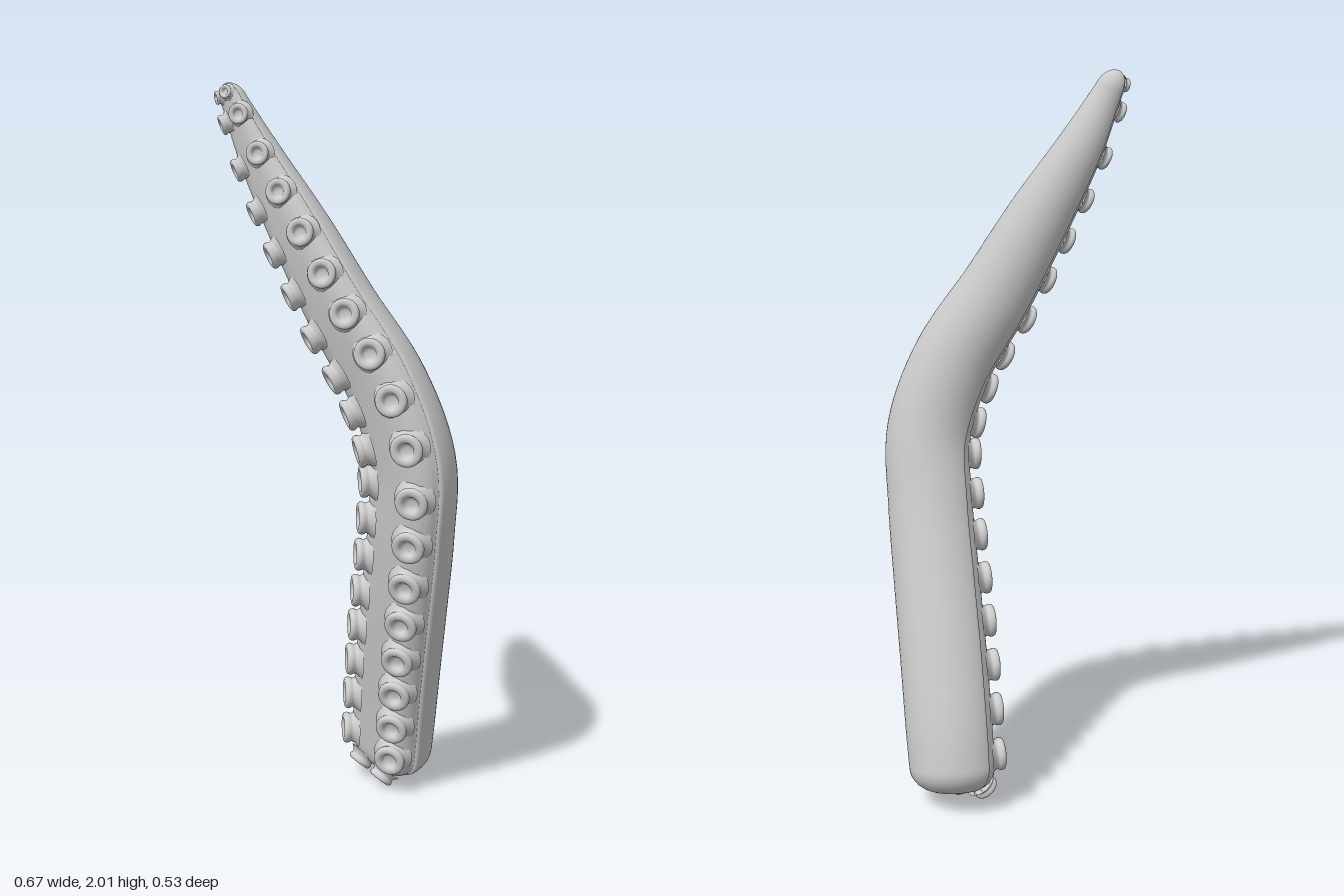
import * as THREE from 'three';

const V = (x, y, z) => new THREE.Vector3(x, y, z);

// Spine stations: x, y, z, radius
const STATIONS = [
  [0.131, 0.1, -0.133, 0.136],
  [0.138, 0.2, -0.109, 0.139],
  [0.155, 0.4, -0.046, 0.14],
  [0.175, 0.6, 0.021, 0.139],
  [0.194, 0.8, 0.081, 0.137],
  [0.199, 1.0, 0.122, 0.135],
  [0.134, 1.2, 0.12, 0.126],
  [0.012, 1.4, 0.09, 0.113],
  [-0.1, 1.6, 0.055, 0.096],
  [-0.212, 1.8, 0.013, 0.068],
  [-0.278, 1.94, -0.004, 0.042],
];
const spine = new THREE.CatmullRomCurve3(STATIONS.map(([x, y, z]) => V(x, y, z)));
const radii = new THREE.CatmullRomCurve3(STATIONS.map((s) => V(s[3], 0, 0)), false, 'catmullrom');

// Position, radius and axes (w across, d towards the domed back, t along) at arc fraction u
function frameAt(u) {
  const t = spine.getTangentAt(u);
  const d = V(1, 0, -1).normalize();
  d.addScaledVector(t, -d.dot(t)).normalize();
  const w = d.clone().cross(t);
  return { p: spine.getPointAt(u), r: radii.getPoint(spine.getUtoTmapping(u)).x, w, d, t };
}

// Cross-section: domed back, rim, groove and rounded sucker bed
function sectionProfile() {
  const pts = [];
  for (let i = 0; i <= 24; i++) {
    const a = 0.08 + (i / 24) * (Math.PI - 0.16);
    pts.push([Math.cos(a), Math.sin(a)]);
  }
  const bed = [[0.99, 0.03], [0.95, 0], [0.92, 0.01], [0.92, -0.08], [0.87, -0.22], [0.74, -0.34], [0.55, -0.42], [0.3, -0.46]];
  bed.forEach(([x, y]) => pts.push([-x, y]));
  pts.push([0, -0.45]);
  bed.reverse().forEach(([x, y]) => pts.push([x, y]));
  return pts;
}

function armGeometry() {
  const profile = sectionProfile();
  const n = profile.length;
  const rings = [];
  const CAP = 10, BODY = 70;
  // rounded base
  for (let i = 0; i < CAP; i++) {
    const a = (1 - i / CAP) * Math.PI / 2;
    rings.push({ ...frameAt(0), shift: -0.077 * Math.sin(a), scale: Math.pow(Math.max(Math.cos(a), 1e-5), 0.7) });
  }
  for (let i = 0; i <= BODY; i++) rings.push({ ...frameAt(i / BODY), shift: 0, scale: 1 });
  // rounded tip
  for (let i = 1; i <= CAP; i++) {
    const a = (i / CAP) * Math.PI / 2;
    rings.push({ ...frameAt(1), shift: 0.056 * Math.sin(a), scale: Math.max(Math.cos(a), 1e-3) });
  }
  const pos = [], index = [];
  rings.forEach(({ p, r, w, d, t, shift, scale }, j) => {
    profile.forEach(([x, y], i) => {
      const q = p.clone().addScaledVector(t, shift)
        .addScaledVector(w, x * r * scale).addScaledVector(d, y * r * scale);
      pos.push(q.x, q.y, q.z);
      if (j === rings.length - 1) return;
      const a = j * n + i, b = j * n + ((i + 1) % n);
      index.push(a, b, b + n, a, b + n, a + n);
    });
  });
  const g = new THREE.BufferGeometry();
  g.setAttribute('position', new THREE.Float32BufferAttribute(pos, 3));
  g.setIndex(index);
  g.computeVertexNormals();
  return g;
}

// Squat cupped sucker of unit radius, axis +y
function suckerGeometry() {
  const pts = [[1.3, -0.2], [1.02, 0.06], [0.92, 0.25], [0.99, 0.42], [1, 0.6], [0.9, 0.74],
    [0.68, 0.76], [0.5, 0.66], [0.4, 0.45], [0.2, 0.36], [0, 0.35]];
  const curve = new THREE.SplineCurve(pts.map(([x, y]) => new THREE.Vector2(x, y)));
  return new THREE.LatheGeometry(curve.getPoints(22).map((p) => p.setX(Math.max(p.x, 0))), 24);
}

export function createModel() {
  const group = new THREE.Group();
  group.name = 'tentacle';
  const material = new THREE.MeshStandardMaterial({ color: 0xcccccc, side: THREE.DoubleSide });

  const arm = new THREE.Mesh(armGeometry(), material);
  arm.name = 'arm';
  group.add(arm);

  const suckers = new THREE.Group();
  suckers.name = 'suckers';
  group.add(suckers);
  const geometry = suckerGeometry();
  const addSucker = (name, position, normal, size) => {
    const m = new THREE.Mesh(geometry, material);
    m.name = name;
    m.position.copy(position);
    m.quaternion.setFromUnitVectors(V(0, 1, 0), normal.normalize());
    m.scale.setScalar(size);
    suckers.add(m);
  };

  // Two columns of suckers, each leaning outwards on its slope of the bed
  const ROWS = 17;
  for (let i = 0; i < ROWS; i++) {
    for (const side of [-1, 1]) {
      const { p, r, w, d } = frameAt(0.012 + 0.968 * (i / (ROWS - 1)));
      p.addScaledVector(w, side * 0.64 * r).addScaledVector(d, -0.37 * r);
      const normal = d.clone().negate().addScaledVector(w, side * 0.6);
      addSucker('sucker', p, normal, 0.017 + 0.205 * r);
    }
  }

  // Pairs wrapping round the base and the tip
  for (const side of [-1, 1]) {
    const b = frameAt(0);
    b.p.addScaledVector(b.w, side * 0.36 * b.r).addScaledVector(b.d, -0.3 * b.r).addScaledVector(b.t, -0.058);
    addSucker('baseSucker', b.p, b.d.clone().multiplyScalar(-0.7).addScaledVector(b.t, -0.7), 0.036);
    const e = frameAt(1);
    e.p.addScaledVector(e.w, side * 0.4 * e.r).addScaledVector(e.d, -0.4 * e.r).addScaledVector(e.t, 0.028);
    addSucker('tipSucker', e.p, e.d.clone().negate().addScaledVector(e.w, side * 0.4).addScaledVector(e.t, 0.2), 0.018);
  }
  return group;
}
